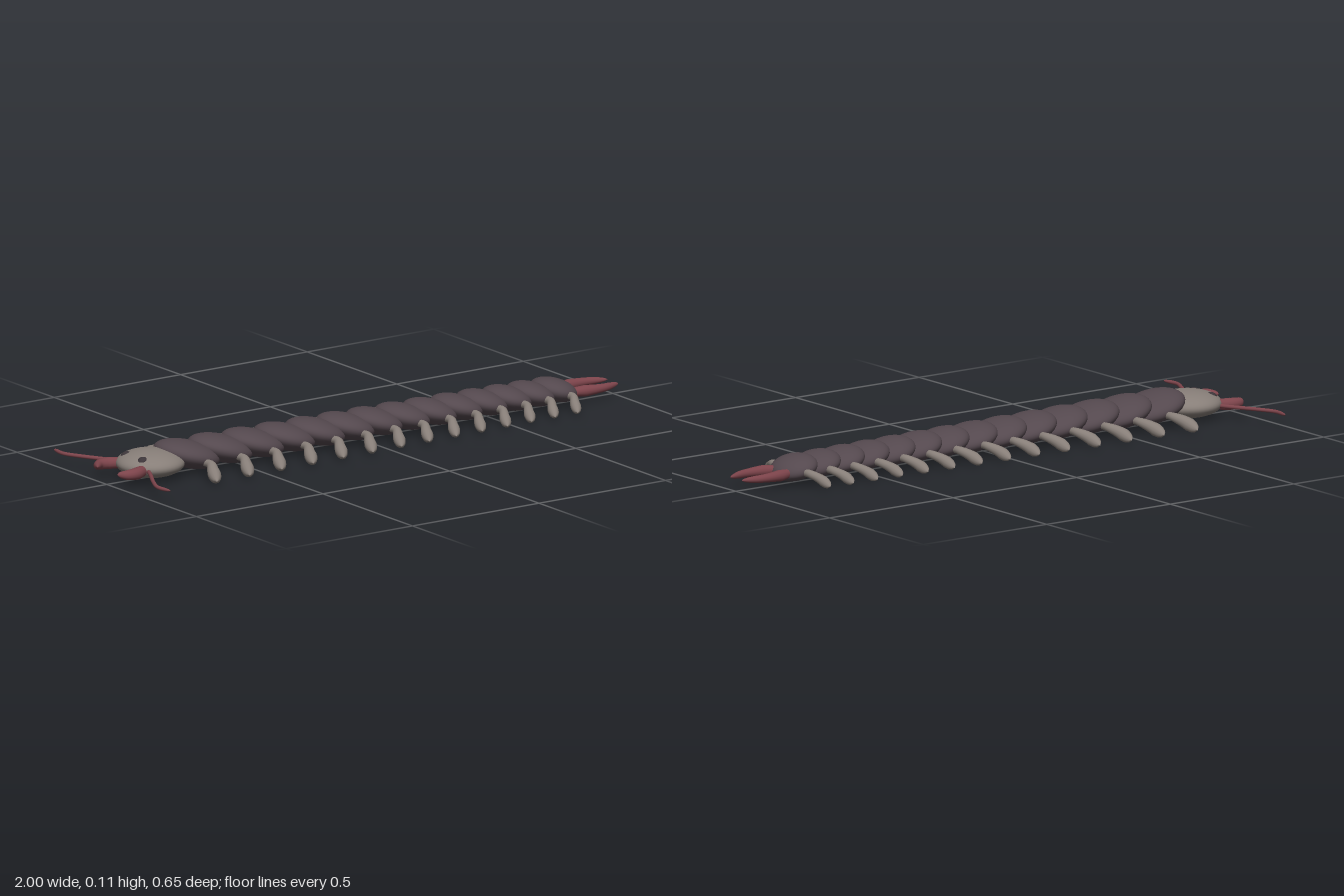
import * as THREE from 'three';

const mat = (name, color) => {
  const m = new THREE.MeshStandardMaterial({ color });
  m.name = name;
  return m;
};

// Curved limb: a tube whose thickness follows a list of radii
function limbGeometry(points, radii, steps = 24, sides = 14) {
  const curve = new THREE.CatmullRomCurve3(points.map(p => new THREE.Vector3(...p)));
  const geo = new THREE.TubeGeometry(curve, steps, 1, sides);
  const pos = geo.attributes.position;
  const v = new THREE.Vector3();
  for (let i = 0; i <= steps; i++) {
    const t = i / steps;
    const centre = curve.getPointAt(t);
    const f = t * (radii.length - 1);
    const k = Math.min(Math.floor(f), radii.length - 2);
    let r = THREE.MathUtils.lerp(radii[k], radii[k + 1], f - k);
    // round off the tip
    if (t > 0.85) r *= Math.sqrt(Math.max(0, 1 - ((t - 0.85) / 0.15) ** 2));
    for (let j = 0; j <= sides; j++) {
      const n = i * (sides + 1) + j;
      v.fromBufferAttribute(pos, n).sub(centre).multiplyScalar(r).add(centre);
      pos.setXYZ(n, v.x, v.y, v.z);
    }
  }
  return geo;
}

export function createModel() {
  const model = new THREE.Group();
  model.name = 'centipede';
  const shell = mat('dark shell', 0x54484e);
  const pale = mat('pale grey', 0x877e78);
  const red = mat('dull red', 0x7d444b);
  const eyeDark = mat('eye dark', 0x3c3539);
  const ball = new THREE.SphereGeometry(1, 40, 24);

  const add = (name, geo, material, parent = model) => {
    const m = new THREE.Mesh(geo, material);
    m.name = name;
    parent.add(m);
    return m;
  };
  const ellipsoid = (name, material, at, size, tilt = 0) => {
    const m = add(name, ball, material);
    m.position.set(...at);
    m.scale.set(...size);
    m.rotation.z = tilt;
    return m;
  };
  // Builds a limb on both sides of the body
  const limbPair = (name, points, radii, material) => {
    for (const s of [1, -1]) {
      const pts = points.map(([x, y, z]) => [x, y, z * s]);
      add(name + (s > 0 ? 'Front' : 'Back'), limbGeometry(pts, radii), material);
    }
  };

  // Overlapping tilted body plates, each with a pair of legs
  const count = 14;
  for (let i = 0; i < count; i++) {
    const t = i / (count - 1);
    const x = -0.685 + 1.74 * t - 0.29 * t * t;
    const s = 1 - 0.2 * t;
    const a = THREE.MathUtils.lerp(0.112, 0.074, t);
    ellipsoid('bodySegment' + (i + 1), shell,
      [x, THREE.MathUtils.lerp(0.058, 0.052, t), 0],
      [a, 0.045 - 0.007 * t, 0.105 - 0.02 * t], -0.27);
    limbPair('leg' + (i + 1), [
      [x + 0.008, 0.046, 0.08 * s],
      [x + 0.008, 0.046, 0.125 * s],
      [x - 0.01 * s, 0.033, 0.165 * s],
      [x - 0.027 * s, 0.012, 0.208 * s],
    ], [0.012, 0.013, 0.018 * s, 0.022 * s, 0.016 * s], pale);
  }

  // Head and eyes
  ellipsoid('head', pale, [-0.828, 0.05, 0], [0.112, 0.044, 0.112]);
  for (const s of [1, -1])
    ellipsoid('eye', eyeDark, [-0.893, 0.073, 0.045 * s], [0.018, 0.012, 0.018], 0.5);

  // Antennae sweeping outward
  limbPair('antenna', [
    [-0.89, 0.047, 0.075], [-0.915, 0.047, 0.125], [-0.96, 0.047, 0.205],
    [-0.985, 0.047, 0.265], [-0.978, 0.047, 0.327],
  ], [0.0065, 0.0065, 0.006], red);

  // Curved jaws
  limbPair('jaw', [
    [-0.905, 0.047, 0.065], [-0.945, 0.047, 0.083], [-0.975, 0.047, 0.08], [-0.998, 0.047, 0.056],
  ], [0.018, 0.02, 0.017, 0.008], red);

  // Tail prongs
  limbPair('tailProng', [
    [0.81, 0.043, 0.034], [0.86, 0.043, 0.046], [0.93, 0.043, 0.048], [1.0, 0.043, 0.03],
  ], [0.014, 0.019, 0.015, 0.012, 0.006], red);

  return model;
}
